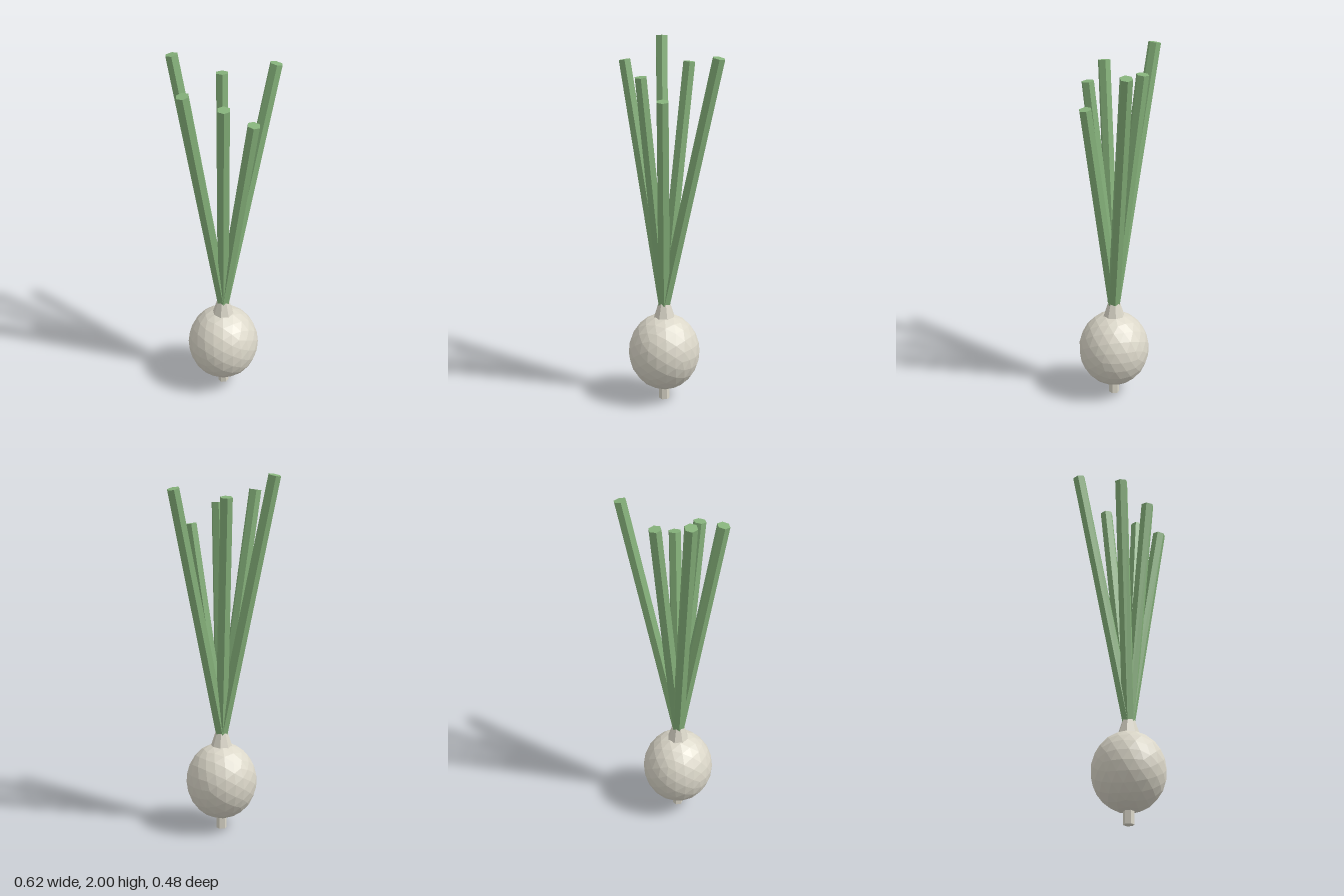
import * as THREE from 'three';

export function createModel() {
  const model = new THREE.Group();
  model.name = 'springOnion';

  const cream = new THREE.MeshStandardMaterial({ color: 0xdbd7c9, flatShading: true });
  cream.name = 'creamBulb';
  const green = new THREE.MeshStandardMaterial({ color: 0x86b27b, flatShading: true });
  green.name = 'leafGreen';

  // Everything grows along one upright axis
  const plant = new THREE.Group();
  plant.name = 'plant';
  plant.position.set(-0.044, 0, 0.043);
  model.add(plant);

  const add = (name, geometry, material, y, parent = plant) => {
    const mesh = new THREE.Mesh(geometry, material);
    mesh.name = name;
    mesh.position.y = y;
    parent.add(mesh);
    return mesh;
  };

  // Faceted bulb, slightly taller than wide
  const bulb = new THREE.IcosahedronGeometry(1, 3);
  bulb.scale(0.197, 0.216, 0.197);
  add('bulb', bulb, cream, 0.281);

  // Root stub below and tapered neck above
  add('root', new THREE.CylinderGeometry(0.029, 0.029, 0.12, 6), cream, 0.06);
  add('neck', new THREE.CylinderGeometry(0.034, 0.066, 0.1, 8), cream, 0.513);

  // Hexagonal leaves fanning out from the neck: tip offset x, z and tip height
  const baseY = 0.555;
  const tips = [
    [0.32, 0, 1.932],
    [0.081, 0.164, 1.715],
    [-0.07, 0.121, 1.823],
    [-0.234, 0, 1.89],
    [-0.148, -0.256, 1.993],
    [0.08, -0.139, 1.883],
  ];
  tips.forEach(([x, z, tipY], i) => {
    const spread = Math.hypot(x, z);
    const rise = tipY - baseY;
    const length = Math.hypot(spread, rise);

    const holder = new THREE.Group();
    holder.name = `leafHolder${i + 1}`;
    holder.position.y = baseY;
    holder.rotation.y = Math.atan2(x, z);
    plant.add(holder);

    const stalk = new THREE.CylinderGeometry(0.035, 0.035, length, 6);
    stalk.translate(0, length / 2, 0);
    add(`leaf${i + 1}`, stalk, green, 0, holder).rotation.x = Math.atan2(spread, rise);
  });

  return model;
}
